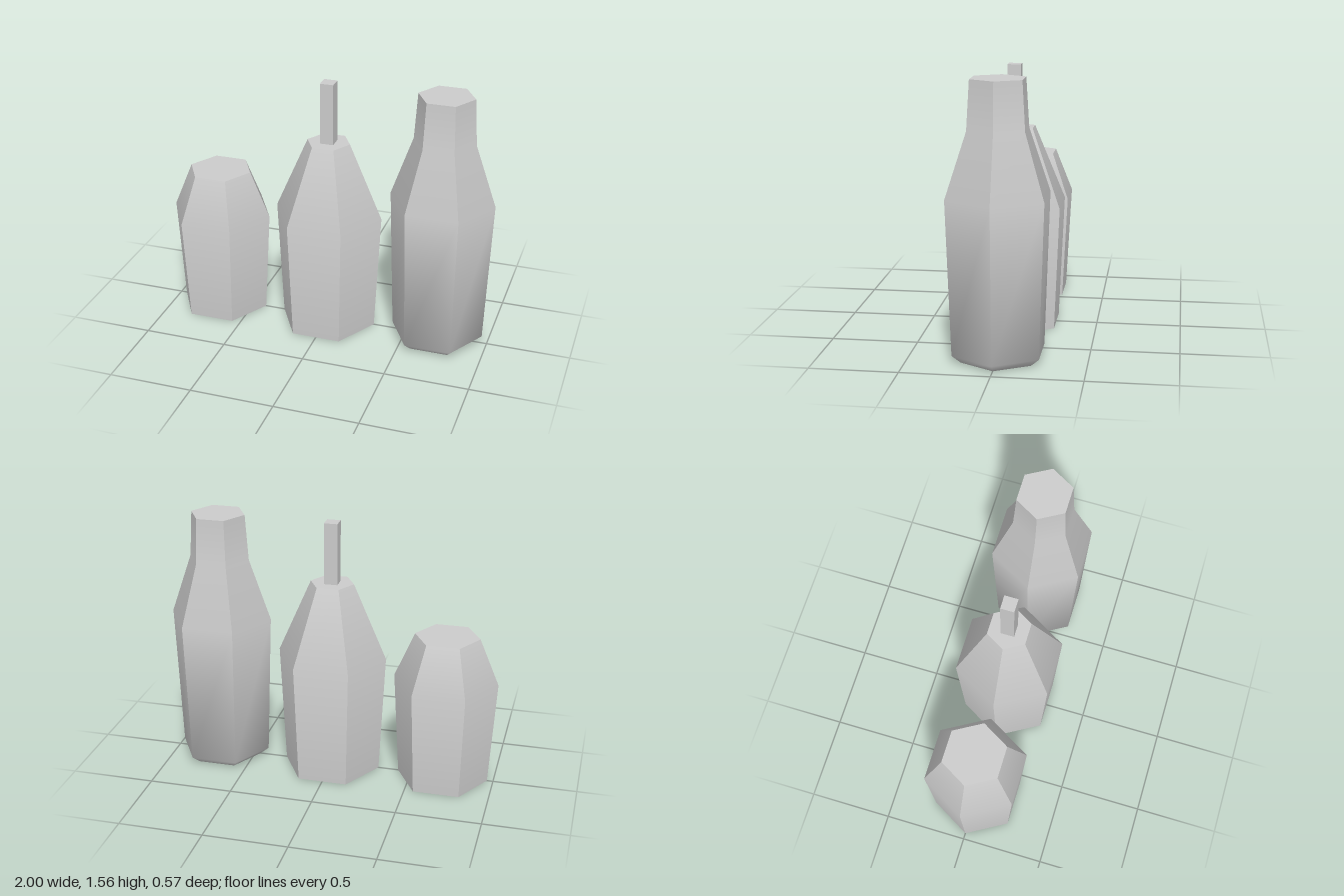
import * as THREE from 'three';

const SIDES = 6;

// Six-sided bottle from [radius, height] rings, bottom to top. Each side is smooth
// from bottom to top and creased against its neighbours; the lowest `softRings`
// rings are also smoothed around the bottle.
function bottleGeometry(profile, softRings = 0) {
  const pos = [], nor = [], index = [];
  const apothem = Math.cos(Math.PI / SIDES);
  const corner = (k) => (k * 2 * Math.PI) / SIDES;
  const push = (r, y, a, n) => {
    pos.push(r * Math.cos(a), y, -r * Math.sin(a));
    nor.push(n.x, n.y, n.z);
  };

  // outward/up slope of each band, then averaged per ring
  const bands = profile.slice(1).map(([r, y], i) =>
    new THREE.Vector2(y - profile[i][1], (profile[i][0] - r) * apothem).normalize());
  const slopes = profile.map((_, i) => {
    const below = bands[i - 1] ?? (softRings ? new THREE.Vector2(0, -1) : bands[i]);
    return below.clone().add(bands[i] ?? below).normalize();
  });
  const normal = (s, a) => new THREE.Vector3(s.x * Math.cos(a), s.y, -s.x * Math.sin(a));

  // sides
  for (let k = 0; k < SIDES; k++) {
    const base = pos.length / 3, mid = corner(k + 0.5);
    profile.forEach(([r, y], i) => {
      for (const a of [corner(k), corner(k + 1)]) {
        push(r, y, a, normal(slopes[i], i < softRings ? a : mid));
      }
      if (i) {
        const b = base + (i - 1) * 2;
        index.push(b, b + 1, b + 3, b, b + 3, b + 2);
      }
    });
  }

  // top and bottom caps
  for (const up of [1, -1]) {
    const [r, y] = up > 0 ? profile[profile.length - 1] : profile[0];
    const base = pos.length / 3;
    const n = new THREE.Vector3(0, up, 0);
    push(0, y, 0, n);
    for (let k = 0; k < SIDES; k++) {
      push(r, y, corner(k), up < 0 && softRings ? normal(slopes[0], corner(k)) : n);
      const a = base + 1 + k, b = base + 1 + ((k + 1) % SIDES);
      index.push(base, ...(up > 0 ? [a, b] : [b, a]));
    }
  }

  const g = new THREE.BufferGeometry();
  g.setAttribute('position', new THREE.Float32BufferAttribute(pos, 3));
  g.setAttribute('normal', new THREE.Float32BufferAttribute(nor, 3));
  g.setIndex(index);
  return g;
}

export function createModel() {
  const model = new THREE.Group();
  model.name = 'bottles';
  const grey = new THREE.MeshStandardMaterial({ color: 0xcccccc });
  grey.name = 'light grey';

  const add = (name, geometry, x, y = 0) => {
    const mesh = new THREE.Mesh(geometry, grey);
    mesh.name = name;
    mesh.position.set(x, y, 0);
    model.add(mesh);
  };

  // short jar
  add('shortJar', bottleGeometry([[0.273, 0], [0.31, 0.64], [0.192, 0.92]]), -0.69);

  // middle bottle with a square spout
  add('middleBottle', bottleGeometry([[0.293, 0], [0.328, 0.735], [0.13, 1.19]]), 0);
  add('spout', new THREE.BoxGeometry(0.08, 0.37, 0.08), 0, 1.375);

  // tall bottle with a neck and a soft bevelled foot
  add('tallBottle', bottleGeometry(
    [[0.225, 0], [0.278, 0.045], [0.31, 0.92], [0.182, 1.285], [0.164, 1.56]], 2), 0.69);

  return model;
}
